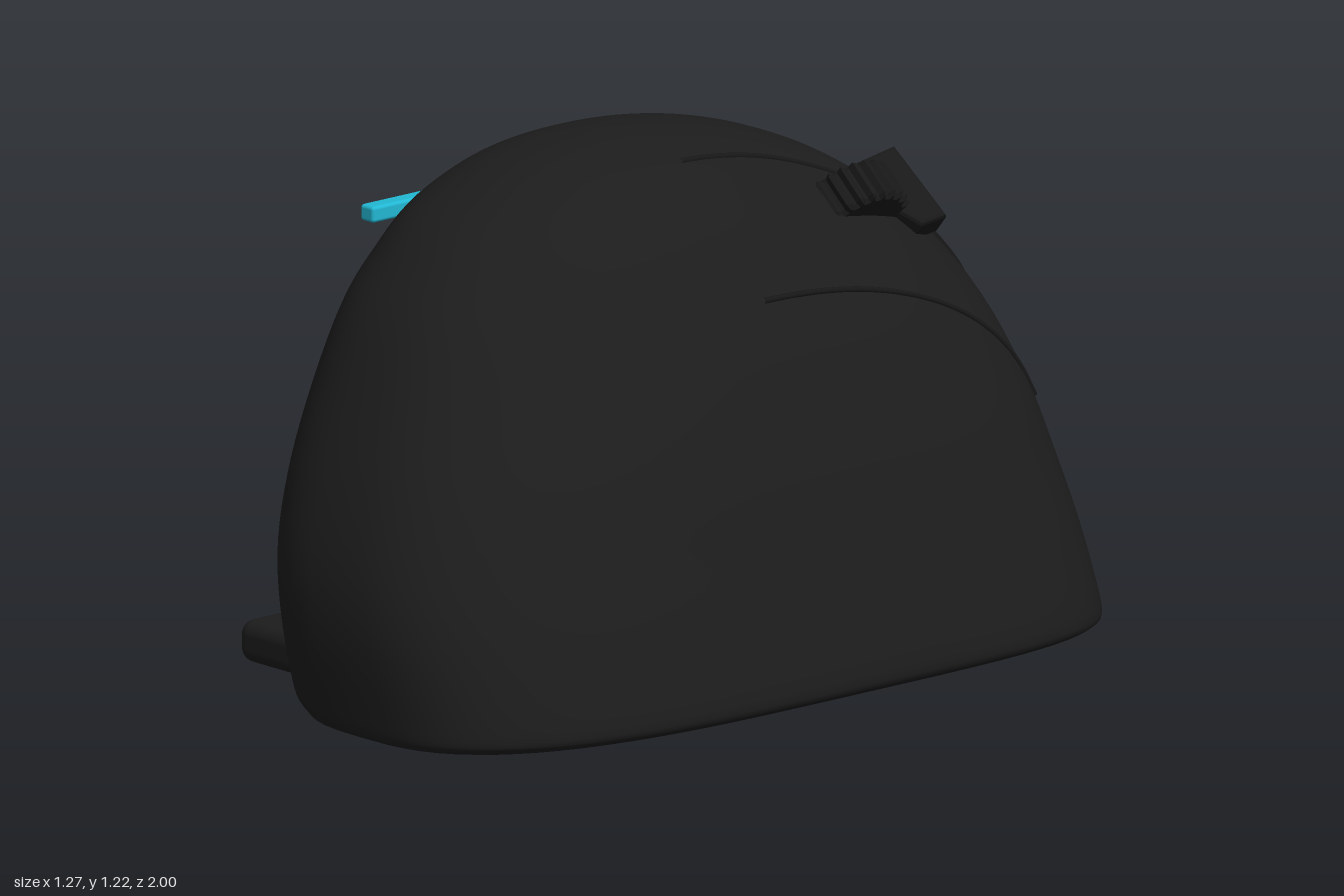
import * as THREE from 'three';
import { RoundedBoxGeometry } from 'three/addons/geometries/RoundedBoxGeometry.js';

const mat = (name, color, side = THREE.FrontSide) =>
  Object.assign(new THREE.MeshStandardMaterial({ color, side }), { name });

// Horizontal layers of the shell: y, x min, x max, z min, z max
const LAYERS = [
  [0.03, -0.32, 0.57, -0.985, 0.985],
  [0.04, -0.345, 0.61, -0.99, 0.99],
  [0.08, -0.395, 0.632, -0.995, 0.995],
  [0.25, -0.445, 0.58, -0.995, 1.0],
  [0.4, -0.485, 0.525, -0.985, 0.975],
  [0.57, -0.52, 0.46, -0.965, 0.905],
  [0.75, -0.54, 0.365, -0.92, 0.8],
  [0.9, -0.535, 0.27, -0.835, 0.7],
  [1.0, -0.515, 0.19, -0.735, 0.6],
  [1.08, -0.482, 0.105, -0.615, 0.5],
  [1.14, -0.44, 0.03, -0.48, 0.375],
  [1.18, -0.385, -0.045, -0.34, 0.26],
  [1.205, -0.315, -0.13, -0.18, 0.13],
  [1.215, -0.24, -0.2, -0.06, 0.0],
];
const spline = (f) => new THREE.CatmullRomCurve3(LAYERS.map(f), false, 'catmullrom', 0.5);
const xCurve = spline((l) => new THREE.Vector3(l[0], l[1], l[2]));
const zCurve = spline((l) => new THREE.Vector3(l[0], l[3], l[4]));

// Layer at t: centre, half sizes and roundness of its two ends
function layer(t) {
  const a = xCurve.getPoint(t), b = zCurve.getPoint(t);
  const k = Math.min(a.x, 1);
  return {
    y: a.x, cx: (a.y + a.z) / 2, hx: (a.z - a.y) / 2, cz: (b.y + b.z) / 2, hz: (b.z - b.y) / 2,
    nBack: 4.5 - 2.2 * k, nFront: 3 - 0.7 * k,
  };
}

function ring(t, count) {
  const l = layer(t), pts = [];
  for (let i = 0; i < count; i++) {
    const a = (i / count) * Math.PI * 2, c = Math.cos(a), s = Math.sin(a);
    const p = 2 / (s < 0 ? l.nBack : l.nFront);
    pts.push(new THREE.Vector3(
      l.cx + l.hx * Math.sign(c) * Math.abs(c) ** p, l.y,
      l.cz + l.hz * Math.sign(s) * Math.abs(s) ** p));
  }
  return pts;
}

// Point on top of the shell above (x, z)
function onShell(x, z) {
  let lo = 0.2, hi = 1;
  for (let i = 0; i < 30; i++) {
    const t = (lo + hi) / 2, l = layer(t), v = z - l.cz;
    const n = v < 0 ? l.nBack : l.nFront;
    const inside = Math.abs((x - l.cx) / l.hx) ** n + Math.abs(v / l.hz) ** n < 1;
    if (inside) lo = t; else hi = t;
  }
  return new THREE.Vector3(x, layer(lo).y, z);
}

function shellGeometry(rows, count) {
  const pts = [], index = [];
  for (let r = 0; r <= rows; r++) pts.push(...ring(r / rows, count));
  for (let r = 0; r < rows; r++) {
    for (let i = 0; i < count; i++) {
      const a = r * count + i, b = r * count + ((i + 1) % count);
      index.push(a, a + count, b, b, a + count, b + count);
    }
  }
  const tip = pts.length;
  pts.push(new THREE.Vector3(-0.22, 1.2155, -0.03));
  for (let i = 0; i < count; i++) index.push(rows * count + i, tip, rows * count + ((i + 1) % count));
  const g = new THREE.BufferGeometry().setFromPoints(pts);
  g.setIndex(index);
  g.computeVertexNormals();
  return g;
}

export function createModel() {
  const model = new THREE.Group();
  model.name = 'verticalMouse';
  const black = mat('shellBlack', 0x1c1c1c);
  const trim = mat('trimBlack', 0x181818);
  const teal = mat('tealAccent', 0x22b8d4);
  const add = (name, geometry, material, parent = model) => {
    const m = new THREE.Mesh(geometry, material);
    m.name = name;
    parent.add(m);
    return m;
  };
  const box = (name, size, pos, radius, material) => {
    const m = add(name, new RoundedBoxGeometry(...size, 3, radius), material);
    m.position.set(...pos);
    return m;
  };

  // Leaning shell and its flat underside
  add('shell', shellGeometry(65, 72), black);
  const base = new THREE.ShapeGeometry(new THREE.Shape(ring(0, 72).map((p) => new THREE.Vector2(p.x, p.z))));
  add('underside', base.rotateX(Math.PI / 2).translate(0, 0.03, 0), black);

  // Ledge for the little finger, and two glide feet
  box('fingerLedge', [0.37, 0.1, 1.37], [-0.455, 0.053, 0.005], 0.035, black);
  for (const [name, z] of [['frontFoot', 0.66], ['backFoot', -0.715]]) {
    box(name, [0.48, 0.04, 0.155], [0.12, 0.02, z], 0.012, trim);
  }

  // Thumb buttons
  for (const [name, x, z] of [['thumbButtonFront', -0.515, 0.035], ['thumbButtonBack', -0.503, -0.34]]) {
    box(name, [0.065, 0.135, 0.27], [x, 0.58, z], 0.02, trim).rotation.z = 0.12;
  }

  // Indicator strip
  box('indicatorStrip', [0.045, 0.038, 0.3], [-0.463, 1.047, 0.3], 0.008, teal);

  // Seams around the finger buttons
  const seam = (name, xAt, zEnd) => {
    const pts = [];
    for (let i = 0; i <= 16; i++) {
      const z = -0.1 + (zEnd + 0.1) * (i / 16);
      pts.push(onShell(xAt(i / 16), z));
    }
    add(name, new THREE.TubeGeometry(new THREE.CatmullRomCurve3(pts), 48, 0.007, 6), trim);
  };
  seam('upperSeam', (k) => -0.01 + 0.08 * k * k, -0.94);
  seam('lowerSeam', () => 0.275, -0.92);

  // Scroll wheel and the pad behind it, tilted to the slope of the shell
  const scroll = new THREE.Group();
  scroll.name = 'scrollAssembly';
  scroll.position.set(0.046, 0.97, -0.55);
  scroll.rotation.z = -0.707;
  model.add(scroll);

  const gear = [];
  const teeth = 26;
  for (let i = 0; i < teeth * 4; i++) {
    const a = (i / (teeth * 4)) * Math.PI * 2, r = i % 4 < 2 ? 0.141 : 0.126;
    gear.push(new THREE.Vector2(Math.cos(a) * r, Math.sin(a) * r));
  }
  const wheel = new THREE.ExtrudeGeometry(new THREE.Shape(gear), {
    depth: 0.085, bevelThickness: 0.01, bevelSize: 0.008, bevelOffset: -0.008, bevelSegments: 1,
  });
  add('scrollWheel', wheel.translate(0, 0, -0.0425).rotateY(Math.PI / 2), trim, scroll);

  const outline = [[-0.12, -0.2], [0.09, -0.22], [0.1, -0.14], [0.05, -0.1], [-0.05, 0.05], [-0.1, -0.08]];
  const pad = new THREE.ExtrudeGeometry(new THREE.Shape(outline.map((p) => new THREE.Vector2(...p))), {
    depth: 0.05, bevelThickness: 0.01, bevelSize: 0.01, bevelOffset: -0.01, bevelSegments: 2,
  });
  add('scrollPad', pad.rotateX(Math.PI / 2).translate(0, 0.042, 0), trim, scroll);

  return model;
}
